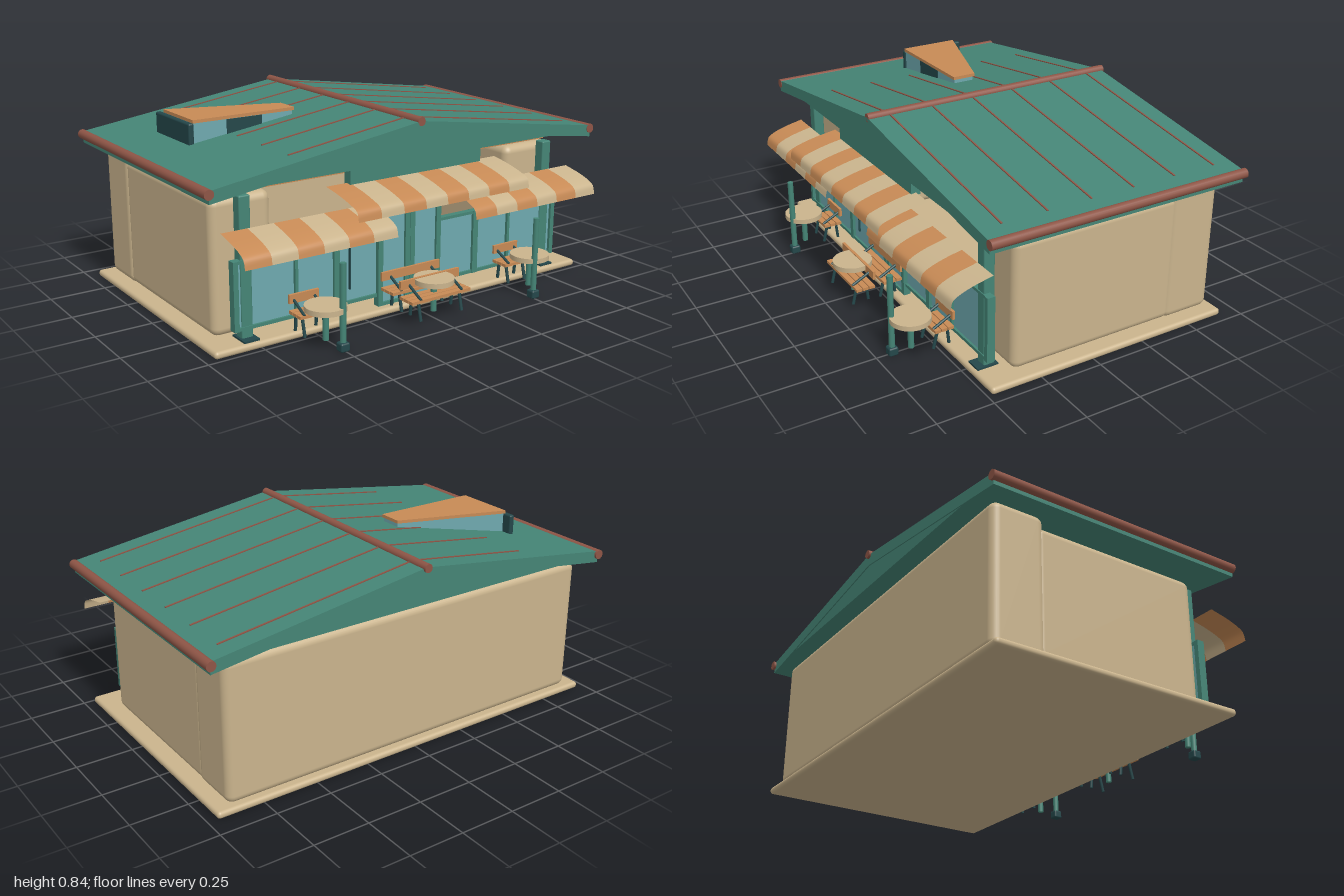
import * as THREE from 'three';
import { RoundedBoxGeometry } from 'three/addons/geometries/RoundedBoxGeometry.js';

const mat = (name, color, side = THREE.FrontSide) => {
  const m = new THREE.MeshStandardMaterial({ color, side });
  m.name = name;
  return m;
};

export function createModel() {
  const root = new THREE.Group();
  root.name = 'cafePavilion';
  const green = mat('roof green', 0x458576);
  const dark = mat('dark teal', 0x24474a);
  const tan = mat('sand plaster', 0xcab48d);
  const orange = mat('warm timber', 0xc78a55);
  const red = mat('red brown trim', 0x8e5546);
  const glass = mat('pale blue glass', 0x6fa9af);
  const clothTan = mat('sand cloth', 0xcab48d, THREE.DoubleSide);
  const clothOrange = mat('orange cloth', 0xc78a55, THREE.DoubleSide);

  const add = (name, geo, m, x = 0, y = 0, z = 0, parent = root) => {
    const mesh = new THREE.Mesh(geo, m);
    mesh.name = name;
    mesh.position.set(x, y, z);
    parent.add(mesh);
    return mesh;
  };
  // Box given by its limits on each axis
  const box = (name, m, x0, x1, y0, y1, z0, z1, parent = root, r = 0) => {
    const s = [x1 - x0, y1 - y0, z1 - z0];
    const geo = r ? new RoundedBoxGeometry(...s, 4, r) : new THREE.BoxGeometry(...s);
    return add(name, geo, m, (x0 + x1) / 2, (y0 + y1) / 2, (z0 + z1) / 2, parent);
  };
  // Round bar between two points
  const bar = (name, m, a, b, r, parent = root, sides = 12) => {
    const p = new THREE.Vector3(...a), q = new THREE.Vector3(...b);
    const mesh = add(name, new THREE.CylinderGeometry(r, r, p.distanceTo(q), sides), m, 0, 0, 0, parent);
    mesh.position.copy(p).lerp(q, 0.5);
    mesh.quaternion.setFromUnitVectors(new THREE.Vector3(0, 1, 0), q.sub(p).normalize());
    return mesh;
  };
  const prism = (name, m, pts, z0, z1) => {
    const shape = new THREE.Shape(pts.map(p => new THREE.Vector2(...p)));
    return add(name, new THREE.ExtrudeGeometry(shape, { depth: z1 - z0, bevelEnabled: false }), m, 0, 0, z0);
  };

  // Floor slab, back block and side wings
  box('floorSlab', tan, -0.96, 0.96, 0.005, 0.036, -0.665, 0.485, root, 0.0145);
  box('backBlock', tan, -0.9, 0.9, 0.03, 0.645, -0.64, -0.4, root, 0.035);
  for (const s of [-1, 1])
    box('sideWing', tan, s < 0 ? -0.895 : 0.62, s < 0 ? -0.62 : 0.895, 0.03, 0.602, -0.44, 0.35, root, 0.035);

  // Roof slab, gable panels and round trims
  prism('roof', green, [[0, 0.83], [-0.98, 0.69], [-0.98, 0.638], [0, 0.775], [0.98, 0.638], [0.98, 0.69]], -0.69, 0.515);
  for (const z of [-0.685, 0.475])
    prism('gablePanel', green, [[0, 0.78], [-0.76, 0.67], [0.76, 0.67]], z, z + 0.03);
  bar('ridgeTrim', red, [0, 0.828, -0.7], [0, 0.828, 0.515], 0.019, root, 16);
  for (const s of [-1, 1]) {
    bar('eaveTrim', red, [s * 0.98, 0.676, -0.7], [s * 0.98, 0.676, 0.517], 0.021, root, 16);
    // Thin raised seams across each roof slope
    for (const z of [-0.6, -0.396, -0.192, 0.01, 0.212, 0.415]) {
      const end = s > 0 ? 0.9 : 0.58, mid = (end + 0.02) / 2;
      const seam = add('roofSeam', new THREE.BoxGeometry((end - 0.02) * 1.01, 0.008, 0.007), red, s * mid, 0.83 - mid / 7, z);
      seam.rotation.z = -s * Math.atan(1 / 7);
    }
  }

  // Front beams and columns
  box('entranceBeam', green, -0.34, 0.34, 0.6, 0.685, 0.45, 0.492);
  box('crossBeam', orange, -0.76, 0.76, 0.645, 0.675, 0.4, 0.44);
  for (const s of [-1, 1]) {
    box('column', green, s * 0.79 - 0.025, s * 0.79 + 0.025, 0.035, 0.625, 0.387, 0.436, root, 0.006);
    box('columnFoot', dark, s * 0.79 - 0.035, s * 0.79 + 0.035, 0.034, 0.044, 0.375, 0.47);
  }

  // Wedge shaped roof light with flat lid
  const wedge = (out, h) => {
    const shape = new THREE.Shape([[-0.75 - out, 0.055 - out], [-0.26 + out, 0.055 - out], [-0.26 + out, 0.165 + out], [-0.75 - out, 0.33 + out]]
      .map(p => new THREE.Vector2(...p)));
    return new THREE.ExtrudeGeometry(shape, { depth: h, bevelEnabled: false }).rotateX(-Math.PI / 2);
  };
  add('roofLightGlass', wedge(-0.006, 0.11), glass, 0, 0.7, 0);
  add('roofLightLid', wedge(0, 0.014), orange, 0, 0.81, 0);
  box('roofLightEnd', dark, -0.77, -0.745, 0.7, 0.81, -0.37, -0.055, root, 0.008);
  box('roofLightPane', dark, -0.59, -0.42, 0.72, 0.808, -0.064, -0.057);

  // Glazed front with frames
  for (const s of [-1, 1]) {
    const g = new THREE.Group();
    g.name = 'windowWall';
    root.add(g);
    const span = (a, b) => s > 0 ? [a, b] : [-b, -a];
    box('windowGlass', glass, ...span(0.16, 0.84), 0.085, 0.36, 0.415, 0.43, g);
    box('topRail', green, ...span(0.16, 0.85), 0.355, 0.368, 0.41, 0.44, g);
    box('bottomRail', green, ...span(0.16, 0.85), 0.078, 0.092, 0.41, 0.44, g);
    for (const [x, w] of [[0.84, 0.011], [0.565, 0.007], [0.37, 0.014]])
      box('mullion', green, s * x - w, s * x + w, 0.078, 0.368, 0.408, 0.443, g);
    // Double door leaf
    box('doorGlass', glass, ...span(0.005, 0.155), 0.045, 0.435, 0.425, 0.438, g);
    for (const [x, w] of [[0.154, 0.012], [0.013, 0.012]])
      box('doorStile', green, s * x - w, s * x + w, 0.034, 0.445, 0.418, 0.449, g);
    box('doorHead', green, ...span(0, 0.165), 0.428, 0.445, 0.418, 0.449, g);
    box('doorFoot', green, ...span(0, 0.165), 0.034, 0.05, 0.418, 0.449, g);
    box('lampPlate', dark, s * 0.56 - 0.025, s * 0.56 + 0.025, 0.382, 0.389, 0.495, 0.54);
  }
  box('slidingHandle', dark, -0.305, -0.299, 0.14, 0.335, 0.43, 0.438);

  // Striped curved awnings
  const awning = (x0, x1, n, profile) => {
    const g = new THREE.Group();
    g.name = 'awning';
    root.add(g);
    const curve = new THREE.CatmullRomCurve3(profile.map(([z, y]) => new THREE.Vector3(0, y, z)));
    const w = (x1 - x0) / n;
    for (let i = 0; i < n; i++) {
      const geo = new THREE.PlaneGeometry(w, 1, 1, 12), p = geo.attributes.position;
      for (let k = 0; k < p.count; k++) {
        const c = curve.getPoint(0.5 - p.getY(k));
        p.setXYZ(k, p.getX(k), c.y, c.z);
      }
      geo.computeVertexNormals();
      add('awningStripe', geo, i % 2 ? clothTan : clothOrange, x0 + w * (i + 0.5), 0, 0, g);
    }
  };
  awning(-0.44, 0.44, 8, [[0.47, 0.612], [0.56, 0.597], [0.64, 0.577], [0.685, 0.558], [0.695, 0.52]]);
  const low = [[0.45, 0.498], [0.54, 0.478], [0.6, 0.457], [0.625, 0.44], [0.635, 0.403]];
  awning(-0.905, -0.205, 6, low);
  awning(0.205, 0.905, 6, low);

  // Slatted seat with back rail and splayed legs
  const bench = (x, z, half, parent) => {
    const g = new THREE.Group();
    g.name = 'bench';
    g.position.set(x, 0, z);
    parent.add(g);
    for (const dz of [-0.03, 0, 0.03])
      box('seatSlat', orange, -half, half, 0.109, 0.122, dz - 0.013, dz + 0.013, g);
    box('backRail', orange, -half, half, 0.15, 0.188, -0.048, -0.036, g);
    for (const s of [-1, 1]) {
      const lx = s * half * 0.7;
      bar('frontLeg', dark, [lx, 0.03, 0.042], [lx, 0.112, 0.022], 0.007, g, 8);
      bar('rearLeg', dark, [lx, 0.036, -0.03], [lx, 0.112, -0.022], 0.007, g, 8);
      bar('armBrace', dark, [lx, 0.122, 0.042], [lx, 0.165, -0.042], 0.006, g, 8);
    }
  };

  // Tables, with parasol posts at the two outer ones
  for (const x of [-0.54, 0, 0.54]) {
    const g = new THREE.Group();
    g.name = 'tableSet';
    root.add(g);
    add('tableTop', new THREE.CylinderGeometry(0.086, 0.086, 0.022, 32), tan, x, 0.174, 0.613, g);
    bar('tableLeg', green, [x, 0.036, 0.613], [x, 0.166, 0.613], 0.013, g);
    if (x) {
      const px = Math.sign(x) * 0.505;
      bench(x, 0.495, 0.07, g);
      bar('post', green, [px, 0.035, 0.682], [px, 0.37, 0.682], 0.013, g);
      box('postFoot', dark, px - 0.021, px + 0.021, 0.005, 0.043, 0.661, 0.703, g, 0.008);
    } else {
      bench(0, 0.495, 0.155, g);
      bench(0, 0.625, 0.155, g);
    }
  }
  // Centre the whole on the ground plane
  const b = new THREE.Box3().setFromObject(root);
  const c = b.getCenter(new THREE.Vector3());
  root.children.forEach(o => o.position.sub(new THREE.Vector3(c.x, b.min.y, c.z)));
  return root;
}
